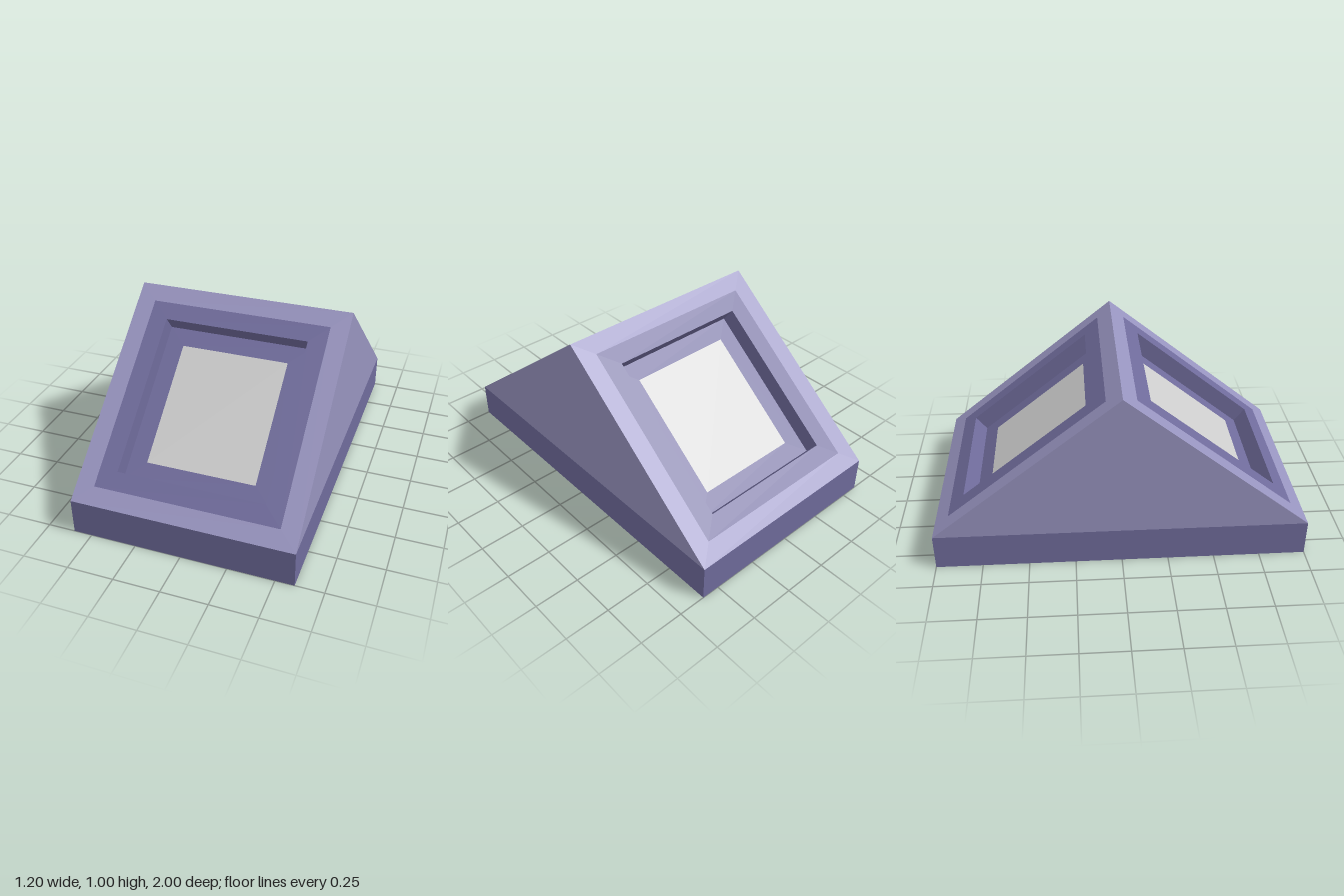
import * as THREE from 'three';

const light = new THREE.MeshStandardMaterial({ color: 0x9793be });
const dark = new THREE.MeshStandardMaterial({ color: 0x6f6b9b });
const grey = new THREE.MeshStandardMaterial({ color: 0xcccccc });

const HALF_WIDTH = 0.6, BASE_HEIGHT = 0.2, RIDGE = 1, HALF_DEPTH = 1;
const RISE = RIDGE - BASE_HEIGHT;
const HALF_SLOPE = Math.hypot(RISE, HALF_DEPTH) / 2;
const RECESS = 0.1;

function add(parent, name, geometry, material) {
  const mesh = new THREE.Mesh(geometry, material);
  mesh.name = name;
  parent.add(mesh);
  return mesh;
}

// Flat rectangle inset from the slope edge, cut out by a second inset
function plate(outer, inner, z) {
  const corners = (inset) => {
    const x = HALF_WIDTH - inset, y = HALF_SLOPE - inset;
    return [[-x, -y], [x, -y], [x, y], [-x, y]].map(([a, b]) => new THREE.Vector2(a, b));
  };
  const shape = new THREE.Shape(corners(outer));
  if (inner) shape.holes.push(new THREE.Path(corners(inner)));
  return new THREE.ShapeGeometry(shape).translate(0, 0, z);
}

// One sloping face, built flat in xy and then tilted
function createSlope() {
  const slope = new THREE.Group();
  add(slope, 'slopeBorder', plate(0, 0.1, 0), light);
  add(slope, 'windowFrame', plate(0.1, 0.2, 0), dark);
  add(slope, 'recessFloor', plate(0.2, 0.3, -RECESS), dark);
  add(slope, 'windowPane', plate(0.3, 0, -RECESS), grey);

  // Inward-facing walls of the recess
  const x = HALF_WIDTH - 0.2, y = HALF_SLOPE - 0.2;
  for (const s of [-1, 1]) {
    add(slope, 'recessSideWall', new THREE.PlaneGeometry(RECESS, 2 * y)
      .rotateY(-s * Math.PI / 2).translate(s * x, 0, -RECESS / 2), dark);
    add(slope, 'recessEndWall', new THREE.PlaneGeometry(2 * x, RECESS)
      .rotateX(s * Math.PI / 2).translate(0, s * y, -RECESS / 2), dark);
  }
  slope.position.set(0, (BASE_HEIGHT + RIDGE) / 2, HALF_DEPTH / 2);
  slope.rotation.x = -Math.atan2(HALF_DEPTH, RISE);
  return slope;
}

export function createModel() {
  const model = new THREE.Group();
  model.name = 'gabledRoof';

  // Base slab
  add(model, 'base', new THREE.BoxGeometry(2 * HALF_WIDTH, BASE_HEIGHT, 2 * HALF_DEPTH)
    .translate(0, BASE_HEIGHT / 2, 0), dark);

  // Triangular gable ends
  const gable = new THREE.Shape([
    new THREE.Vector2(-HALF_DEPTH, BASE_HEIGHT),
    new THREE.Vector2(HALF_DEPTH, BASE_HEIGHT),
    new THREE.Vector2(0, RIDGE),
  ]);
  for (const s of [-1, 1]) {
    add(model, s > 0 ? 'leftGable' : 'rightGable', new THREE.ShapeGeometry(gable)
      .rotateY(s * Math.PI / 2).translate(s * HALF_WIDTH, 0, 0), light);
  }

  // Front and back slopes
  for (const name of ['frontSlope', 'backSlope']) {
    const side = new THREE.Group();
    side.name = name;
    side.add(createSlope());
    if (name === 'backSlope') side.rotation.y = Math.PI;
    model.add(side);
  }
  return model;
}
